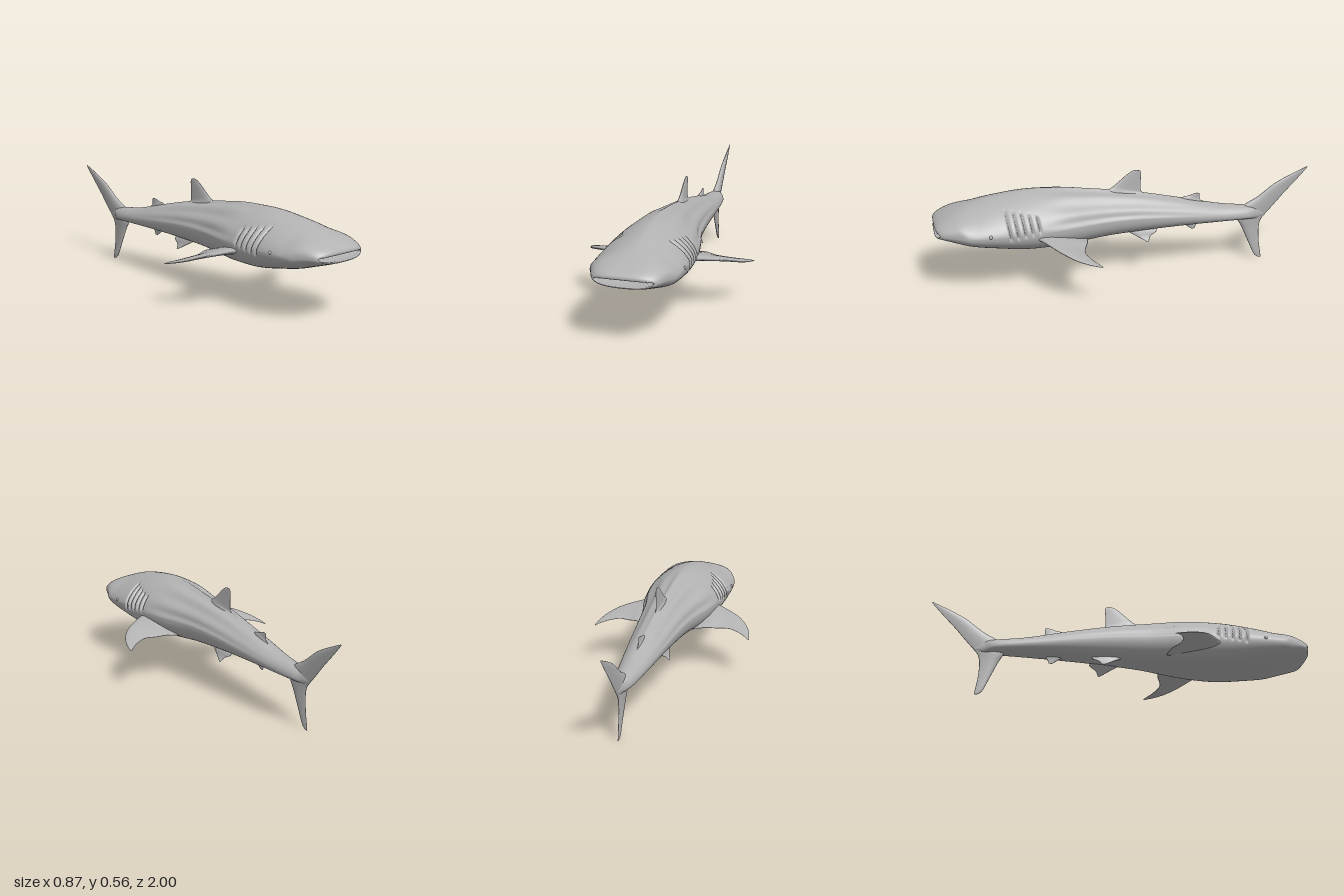
import * as THREE from 'three';

const skin = new THREE.MeshStandardMaterial({ color: 0xb2b2b2 });
skin.name = 'grey skin';

const step = THREE.MathUtils.smoothstep;
const power = (v, e) => Math.sign(v) * Math.pow(Math.abs(v), e);

// Catmull-Rom blend through rows of numbers; steps(row, next) sets the density
function smoothRows(rows, steps) {
  const out = [];
  for (let i = 0; i < rows.length - 1; i++) {
    const a = rows[Math.max(i - 1, 0)], b = rows[i], c = rows[i + 1], d = rows[Math.min(i + 2, rows.length - 1)];
    const n = steps(b, c);
    for (let k = 0; k < n; k++) {
      const t = k / n;
      out.push(b.map((v, j) => v + 0.5 * t * (c[j] - a[j] +
        t * (2 * a[j] - 5 * v + 4 * c[j] - d[j] + t * (3 * (v - c[j]) + d[j] - a[j])))));
    }
  }
  out.push(rows[rows.length - 1]);
  return out;
}

// Closed skin over rings of points, with a fan at each end, always facing outwards
function loft(name, rings) {
  const n = rings[0].length, points = rings.flat(), idx = [];
  for (let i = 0; i < rings.length - 1; i++) {
    for (let j = 0; j < n; j++) {
      const a = i * n + j, b = i * n + (j + 1) % n;
      idx.push(a, b, b + n, a, b + n, a + n);
    }
  }
  for (const e of [0, rings.length - 1]) {
    const centre = new THREE.Vector3();
    rings[e].forEach(p => centre.addScaledVector(p, 1 / n));
    const ci = points.push(centre) - 1;
    for (let j = 0; j < n; j++) {
      const a = e * n + j, b = e * n + (j + 1) % n;
      if (e) idx.push(a, b, ci); else idx.push(b, a, ci);
    }
  }
  let volume = 0;
  for (let i = 0; i < idx.length; i += 3) {
    volume += points[idx[i]].dot(points[idx[i + 1]].clone().cross(points[idx[i + 2]]));
  }
  if (volume < 0) idx.reverse();
  const g = new THREE.BufferGeometry().setFromPoints(points);
  g.setIndex(idx);
  g.computeVertexNormals();
  const mesh = new THREE.Mesh(g, skin);
  mesh.name = name;
  return mesh;
}

// Fin with a foil section, its thickness a share of the chord; rows are [lead x,y,z, trail x,y,z]
function fin(name, rows, normal, ratio, side = 1) {
  const N = new THREE.Vector3(...normal).normalize();
  const rings = smoothRows(rows, () => 7).map(r => {
    const lead = new THREE.Vector3(r[0], r[1], r[2]), trail = new THREE.Vector3(r[3], r[4], r[5]);
    const thick = ratio * lead.distanceTo(trail);
    return Array.from({ length: 24 }, (_, j) => {
      const t = j / 24 * Math.PI * 2, u = (1 - Math.cos(t)) / 2;
      const p = lead.clone().lerp(trail, u).addScaledVector(N, thick * 0.7 * Math.sin(t) * (1 - 0.7 * u));
      p.x *= side;
      return p;
    });
  });
  return loft(name, rings);
}

// Upright fin on the centre line; rows are [lead z,y, trail z,y]
const uprightFin = (name, ratio, rows) =>
  fin(name, rows.map(([lz, ly, tz, ty]) => [0, ly, lz, 0, ty, tz]), [1, 0, 0], ratio);

function makeBody() {
  // z, half width, top, bottom; from the tail to the lips and back into the mouth
  const rows = [
    [-0.77, 0.003, 0.275, 0.25],
    [-0.72, 0.02, 0.30, 0.235],
    [-0.66, 0.048, 0.312, 0.238],
    [-0.5, 0.07, 0.335, 0.24],
    [-0.3, 0.092, 0.385, 0.238],
    [-0.1, 0.112, 0.43, 0.232],
    [0.1, 0.136, 0.463, 0.222],
    [0.2, 0.155, 0.477, 0.213],
    [0.3, 0.18, 0.49, 0.205],
    [0.4, 0.2, 0.497, 0.2],
    [0.55, 0.216, 0.495, 0.203],
    [0.7, 0.221, 0.475, 0.228],
    [0.8, 0.218, 0.453, 0.248],
    [0.88, 0.207, 0.427, 0.272],
    [0.94, 0.19, 0.402, 0.29],
    [0.98, 0.172, 0.381, 0.303],
    [0.998, 0.155, 0.362, 0.31],
    [0.993, 0.143, 0.347, 0.317],
    [0.96, 0.136, 0.347, 0.315],
    [0.87, 0.05, 0.342, 0.325],
  ];
  const density = (b, c) => (b[0] > 0.39 && c[0] < 0.71 ? 45 : 9);
  const rings = smoothRows(rows, density).map(([z, w, top, bottom]) => {
    // widest height and roundness change gently along the length
    const mid = 0.262 + 0.07 * step(z, -0.8, 0.1) + 0.006 * step(z, 0.8, 0.98);
    const roundTop = 2 - 0.45 * step(z, -0.7, -0.1) + 1.3 * step(z, 0.78, 1.02);
    return Array.from({ length: 96 }, (_, j) => {
      const a = j / 96 * Math.PI * 2, s = Math.sin(a), e = 2 / (s > 0 ? roundTop : 2.2);
      let x = w * power(Math.cos(a), e);
      let y = mid + (s > 0 ? top - mid : mid - bottom) * power(s, e);
      // long ridges along the back and flanks
      const ridge = step(z, -0.55, 0.1) * (1 - step(z, 0.25, 0.5)) * step(s, 0, 0.3);
      const k = 1 + 0.03 * ridge * (Math.cos(12 * (a - Math.PI / 2)) - 0.4);
      x *= k;
      y = mid + (y - mid) * k;
      // five gill slits, steep in front and easing out behind
      for (let i = 0; i < 5; i++) {
        const d = z - (0.64 - 0.038 * i + (y - 0.38) * 0.15);
        const low = 0.3 + 0.006 * i, high = 0.45 - 0.007 * i;
        const span = step(y, low, low + 0.025) * (1 - step(y, high - 0.02, high));
        x -= Math.sign(x) * 0.014 * span * Math.exp(-((d / (d > 0 ? 0.004 : 0.011)) ** 2));
      }
      // snout rounds back towards its corners
      return new THREE.Vector3(x, y, z - 0.03 * step(z, 0.82, 1) * (x / 0.16) ** 4);
    });
  });
  return loft('body', rings);
}

export function createModel() {
  const model = new THREE.Group();
  model.name = 'shark';
  model.add(makeBody());

  model.add(uprightFin('firstDorsalFin', 0.14, [
    [0.14, 0.42, -0.15, 0.395], [0.10, 0.455, -0.145, 0.415], [0.065, 0.477, -0.09, 0.435],
    [0.03, 0.505, -0.083, 0.47], [-0.01, 0.538, -0.084, 0.51], [-0.038, 0.555, -0.086, 0.54],
    [-0.058, 0.559, -0.08, 0.555],
  ]));
  model.add(uprightFin('secondDorsalFin', 0.14, [
    [-0.27, 0.365, -0.43, 0.34], [-0.31, 0.387, -0.43, 0.35], [-0.345, 0.394, -0.405, 0.367],
    [-0.37, 0.402, -0.403, 0.385], [-0.388, 0.405, -0.402, 0.402],
  ]));
  model.add(uprightFin('analFin', 0.18, [
    [-0.28, 0.26, -0.40, 0.255], [-0.31, 0.24, -0.395, 0.235],
    [-0.34, 0.218, -0.385, 0.218], [-0.362, 0.203, -0.38, 0.203],
  ]));
  // upper and lower lobes run as one sweep from tip to tip
  model.add(uprightFin('tailFin', 0.27, [
    [-0.995, 0.507, -1, 0.504], [-0.92, 0.475, -0.95, 0.448], [-0.82, 0.425, -0.876, 0.37],
    [-0.725, 0.355, -0.81, 0.295], [-0.64, 0.305, -0.765, 0.245], [-0.615, 0.245, -0.745, 0.215],
    [-0.643, 0.185, -0.738, 0.165], [-0.683, 0.095, -0.743, 0.09], [-0.715, 0.025, -0.753, 0.03],
    [-0.74, 0.002, -0.757, 0.002],
  ]));

  // paired parts on both sides
  for (const [label, side] of [['left', 1], ['right', -1]]) {
    model.add(fin(label + 'PectoralFin', [
      [0.14, 0.31, 0.57, 0.12, 0.245, 0.22], [0.205, 0.302, 0.49, 0.19, 0.255, 0.235],
      [0.27, 0.292, 0.445, 0.25, 0.25, 0.257], [0.34, 0.276, 0.395, 0.31, 0.25, 0.267],
      [0.395, 0.253, 0.33, 0.37, 0.24, 0.245], [0.422, 0.235, 0.265, 0.408, 0.23, 0.218],
      [0.433, 0.222, 0.21, 0.428, 0.221, 0.2],
    ], [0.2, 1, -0.12], 0.14, side));
    model.add(fin(label + 'PelvicFin', [
      [0.035, 0.26, 0.02, 0.03, 0.25, -0.15], [0.052, 0.235, -0.01, 0.048, 0.228, -0.16],
      [0.064, 0.212, -0.05, 0.062, 0.208, -0.125], [0.073, 0.195, -0.08, 0.072, 0.194, -0.115],
      [0.08, 0.184, -0.1, 0.08, 0.184, -0.11],
    ], [0.8, 0.55, 0], 0.14, side));
    for (const [part, r, x, y, z] of [['Eye', 0.009, 0.217, 0.34, 0.73], ['Nostril', 0.007, 0.117, 0.35, 0.985]]) {
      const bump = new THREE.Mesh(new THREE.SphereGeometry(r, 16, 12), skin);
      bump.position.set(x * side, y, z);
      bump.name = label + part;
      model.add(bump);
    }
  }
  return model;
}
